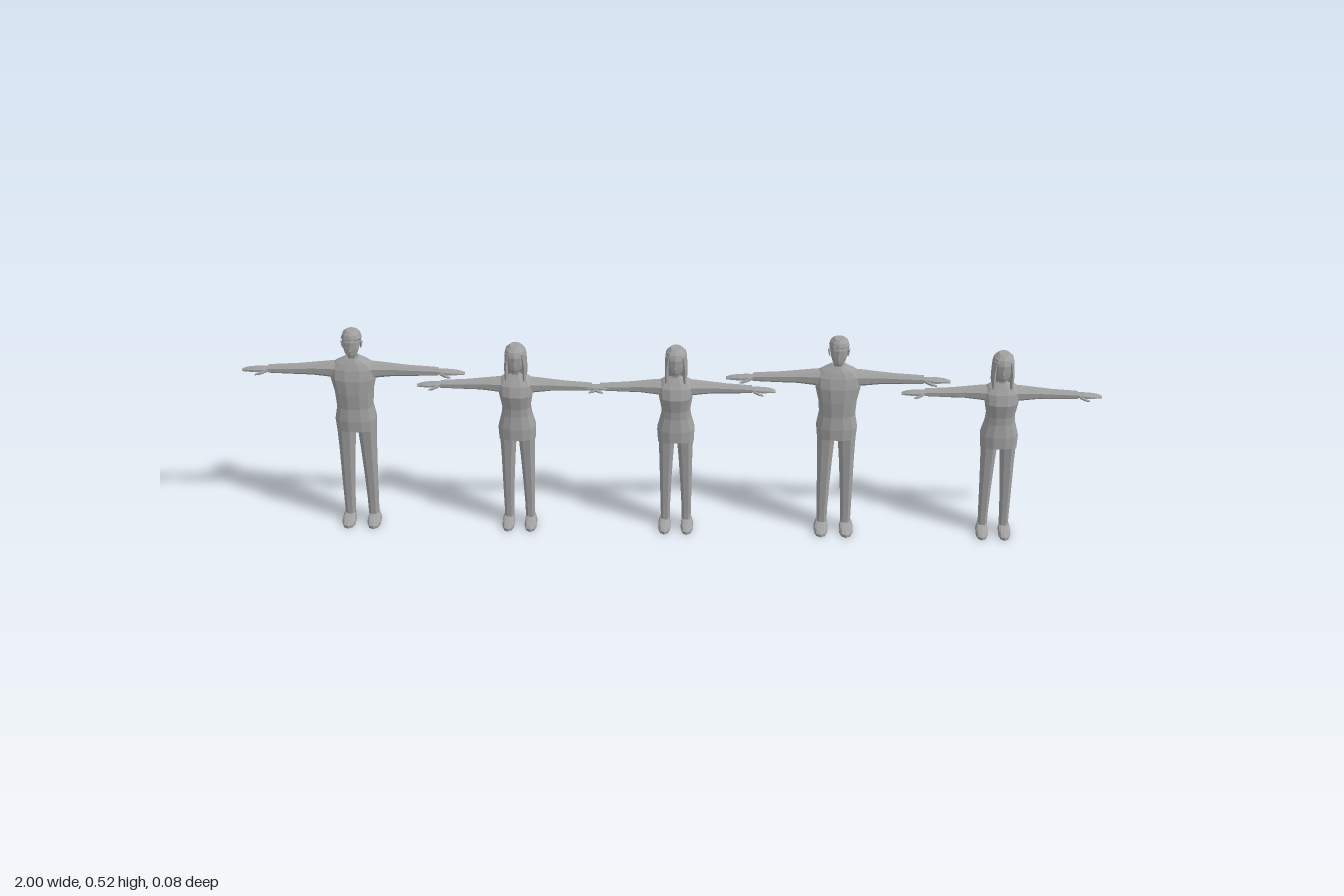
import * as THREE from 'three';

const grey = new THREE.MeshStandardMaterial({ color: 0xa0a0a0, flatShading: true, side: THREE.DoubleSide });
grey.name = 'grey';

// Loft of rounded-square rings along y: each section is [y, centreX, centreZ, radiusX, radiusZ, tilt]
function loft(name, sections, sides = 10, power = 0.85) {
  const pos = [], idx = [], n = sections.length;
  const soft = v => Math.sign(v) * Math.pow(Math.abs(v), power);
  for (const [y, cx, cz, rx, rz, tilt = 0] of sections) {
    for (let i = 0; i < sides; i++) {
      const a = (i + 0.5) / sides * Math.PI * 2, s = soft(Math.sin(a));
      pos.push(cx + rx * soft(Math.cos(a)), y + tilt * s, cz + rz * s);
    }
  }
  for (let k = 0; k < n - 1; k++) {
    for (let i = 0; i < sides; i++) {
      const j = (i + 1) % sides, a = k * sides, b = a + sides;
      idx.push(a + i, b + i, a + j, a + j, b + i, b + j);
    }
  }
  // End caps
  for (let i = 1; i < sides - 1; i++) {
    const t = (n - 1) * sides;
    idx.push(0, i, i + 1, t, t + i + 1, t + i);
  }
  const g = new THREE.BufferGeometry();
  g.setAttribute('position', new THREE.Float32BufferAttribute(pos, 3));
  g.setIndex(idx);
  g.computeVertexNormals();
  const m = new THREE.Mesh(g, grey);
  m.name = name;
  return m;
}

// Jacket profiles: straight for the tall build, waisted for the short one
const tallTorso = [
  [0.25, 0, -0.004, 0.046, 0.033, 0.012], [0.285, 0, -0.005, 0.049, 0.034, 0.004],
  [0.32, 0, -0.004, 0.043, 0.029], [0.36, 0, -0.004, 0.046, 0.03],
  [0.395, 0, -0.005, 0.054, 0.029], [0.42, 0, -0.009, 0.056, 0.026],
  [0.434, 0, -0.01, 0.04, 0.021], [0.446, 0, -0.01, 0.016, 0.014]];
const shortTorso = [
  [0.235, 0, -0.004, 0.043, 0.031, 0.01], [0.27, 0, -0.006, 0.045, 0.032, 0.003],
  [0.305, 0, -0.005, 0.036, 0.026], [0.325, 0, -0.004, 0.034, 0.025],
  [0.36, 0, -0.003, 0.04, 0.03], [0.385, 0, -0.006, 0.043, 0.025],
  [0.398, 0, -0.009, 0.034, 0.019], [0.411, 0, -0.01, 0.013, 0.012]];

// Leg and pointed shoe
function leg(side, w, h) {
  const g = new THREE.Group();
  g.name = side > 0 ? 'leftLeg' : 'rightLeg';
  const x = side * w;
  g.add(loft('trouserLeg', [
    [0.012, x * 0.028, -0.004, 0.0125 * w, 0.012],
    [0.06 * h, x * 0.028, -0.005, 0.0135 * w, 0.014],
    [0.13 * h, x * 0.027, -0.004, 0.016 * w, 0.016],
    [0.2 * h, x * 0.0255, -0.006, 0.019 * w, 0.022],
    [0.27 * h, x * 0.024, -0.007, 0.023 * w, 0.028]], 8));
  g.add(loft('shoe', [
    [0, x * 0.03, 0.01, 0.016 * w, 0.034],
    [0.007, x * 0.03, 0.01, 0.017 * w, 0.034],
    [0.014, x * 0.03, 0.007, 0.015 * w, 0.029, -0.003],
    [0.021, x * 0.029, -0.005, 0.012 * w, 0.016, -0.002]], 10));
  return g;
}

// Outstretched arm: sections run outwards, the second number is height above the shoulder line
function arm(side, y, s) {
  const g = new THREE.Group();
  g.name = side > 0 ? 'leftArm' : 'rightArm';
  const part = (name, rows) => {
    const m = loft(name, rows.map(([d, up, z, ry, rz]) => [d * s, -side * up, z, ry * s, rz]), 8);
    m.rotation.z = -side * Math.PI / 2;
    g.add(m);
  };
  part('sleeve', [
    [0.03, 0.001, -0.009, 0.021, 0.021], [0.06, 0.001, -0.01, 0.018, 0.018],
    [0.095, 0.001, -0.01, 0.0145, 0.0145], [0.13, 0, -0.009, 0.0125, 0.0125],
    [0.165, 0, -0.008, 0.011, 0.0115], [0.198, 0, -0.007, 0.0095, 0.0105]]);
  part('hand', [
    [0.19, 0, -0.006, 0.006, 0.008], [0.21, 0, -0.005, 0.0065, 0.011],
    [0.23, -0.001, -0.005, 0.006, 0.0115], [0.247, -0.002, -0.006, 0.0045, 0.009],
    [0.26, -0.004, -0.006, 0.002, 0.006]]);
  part('thumb', [
    [0.202, -0.001, 0.002, 0.004, 0.004], [0.216, -0.004, 0.009, 0.0035, 0.004],
    [0.228, -0.006, 0.012, 0.002, 0.002]]);
  g.position.y = y;
  return g;
}

// Head, nose, ears and hair, measured up from the chin
function head(chin, style) {
  const g = new THREE.Group();
  g.name = 'head';
  g.add(loft('neck', [[-0.022, 0, -0.01, 0.014, 0.014], [-0.006, 0, -0.009, 0.012, 0.012],
    [0.015, 0, -0.009, 0.012, 0.012]], 8));
  g.add(loft('face', [
    [-0.001, 0, 0.006, 0.008, 0.009], [0.008, 0, 0.001, 0.015, 0.017],
    [0.022, 0, -0.003, 0.0195, 0.022], [0.04, 0, -0.006, 0.021, 0.025],
    [0.053, 0, -0.007, 0.018, 0.021], [0.06, 0, -0.008, 0.009, 0.011]], 10));
  g.add(loft('nose', [[0.02, 0, 0.019, 0.0035, 0.005], [0.033, 0, 0.018, 0.0015, 0.002]], 4, 1));
  if (style === 'long') {
    // Shoulder-length hair behind the face, with a crown over the forehead
    g.add(loft('longHair', [
      [-0.032, 0, -0.025, 0.023, 0.009], [-0.015, 0, -0.02, 0.027, 0.016],
      [0.01, 0, -0.016, 0.027, 0.02], [0.035, 0, -0.014, 0.026, 0.021],
      [0.05, 0, -0.012, 0.023, 0.021], [0.06, 0, -0.01, 0.014, 0.014]], 10, 0.75));
    g.add(loft('crown', [
      [0.044, 0, -0.009, 0.025, 0.027, 0.003], [0.053, 0, -0.009, 0.022, 0.024],
      [0.062, 0, -0.01, 0.012, 0.014]]));
    for (const s of [-1, 1]) {
      g.add(loft('frontLock', [[-0.024, s * 0.021, 0.004, 0.004, 0.007],
        [0.015, s * 0.021, 0.002, 0.005, 0.01], [0.048, s * 0.017, 0.003, 0.005, 0.01]], 6));
    }
  } else {
    // Cropped hair with a raised front
    g.add(loft('shortHair', [
      [0.018, 0, -0.02, 0.018, 0.013], [0.034, 0, -0.016, 0.0225, 0.018],
      [0.044, 0, -0.007, 0.024, 0.027, 0.005], [0.056, 0, -0.007, 0.02, 0.024, 0.002],
      [0.064, 0, -0.005, 0.011, 0.015, 0.002]]));
    for (const s of [-1, 1]) {
      g.add(loft('ear', [[0.017, s * 0.021, -0.006, 0.002, 0.003],
        [0.032, s * 0.023, -0.008, 0.003, 0.005]], 6));
    }
  }
  g.position.y = chin;
  return g;
}

function figure(name, x, tall) {
  const g = new THREE.Group();
  g.name = name;
  const w = tall ? 1 : 0.89, h = tall ? 1 : 0.94;
  g.add(loft('jacket', tall ? tallTorso : shortTorso, 12));
  for (const s of [-1, 1]) {
    g.add(leg(s, w, h));
    g.add(arm(s, tall ? 0.411 : 0.377, tall ? 1 : 0.892));
  }
  g.add(head(tall ? 0.456 : 0.422, tall ? 'short' : 'long'));
  g.position.x = x;
  return g;
}

export function createModel() {
  const model = new THREE.Group();
  model.name = 'rowOfFigures';
  const row = [[-0.74, true], [-0.361, false], [0.012, false], [0.388, true], [0.768, false]];
  row.forEach(([x, tall], i) => model.add(figure((tall ? 'tallFigure' : 'shortFigure') + (i + 1), x, tall)));
  return model;
}
